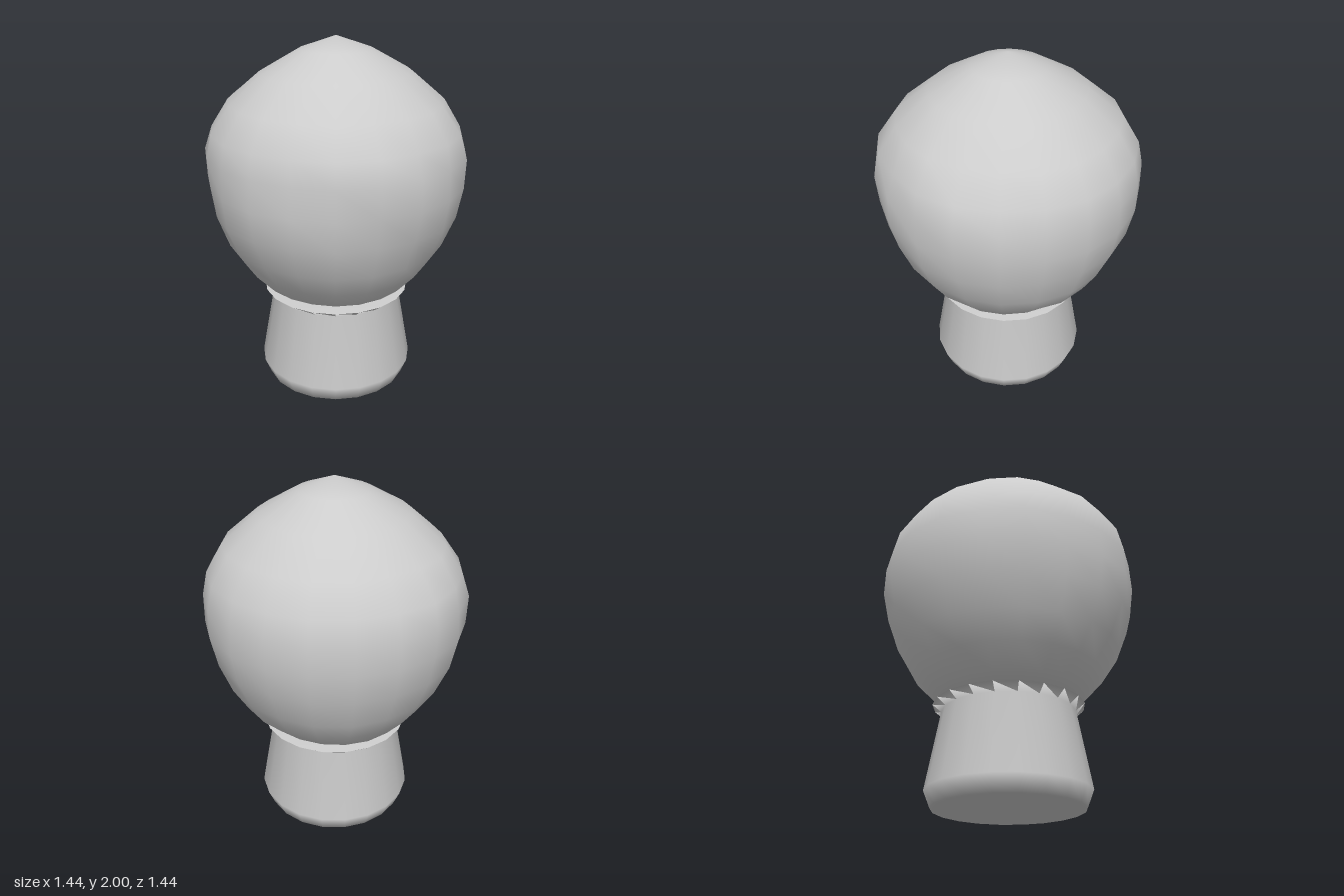
import * as THREE from 'three';
import { mergeVertices } from 'three/addons/utils/BufferGeometryUtils.js';

const lathe = (points, segments) => new THREE.LatheGeometry(
  points.map(([r, y]) => new THREE.Vector2(r, y)), segments);

export function createModel() {
  const group = new THREE.Group();
  const stone = new THREE.MeshStandardMaterial({ color: 0xcccccc });
  stone.name = 'stone grey';

  // Flared foot: bevelled bottom, tapering wall, lipped rim closed on top
  const base = new THREE.Mesh(lathe([
    [0, 0], [0.41, 0], [0.447, 0.09], [0.37, 0.52], [0.42, 0.56], [0, 0.56],
  ], 20), stone);
  base.name = 'base';
  group.add(base);

  // Pear-shaped ball with a blunt peak and gentle hand-cut lumps
  let ballShape = lathe([
    [0, 0.555], [0.3, 0.565], [0.42, 0.61], [0.53, 0.73], [0.62, 0.87],
    [0.69, 1.05], [0.722, 1.22], [0.722, 1.38], [0.69, 1.51], [0.595, 1.66],
    [0.41, 1.81], [0.2, 1.93], [0, 2],
  ], 20);
  ballShape.deleteAttribute('uv');
  ballShape.deleteAttribute('normal');
  ballShape = mergeVertices(ballShape, 1e-4);
  const pos = ballShape.attributes.position;
  for (let i = 0; i < pos.count; i++) {
    const x = pos.getX(i), y = pos.getY(i), z = pos.getZ(i);
    const lump = Math.sin(9 * x + 4 * y) * Math.sin(8 * z - 5 * y + 1)
      + 0.5 * Math.sin(13 * y + 7 * x - 6 * z);
    const k = 1 + 0.012 * lump;
    pos.setX(i, x * k);
    pos.setZ(i, z * k);
  }
  ballShape.computeVertexNormals();
  const ball = new THREE.Mesh(ballShape, stone);
  ball.name = 'ball';
  group.add(ball);

  return group;
}
